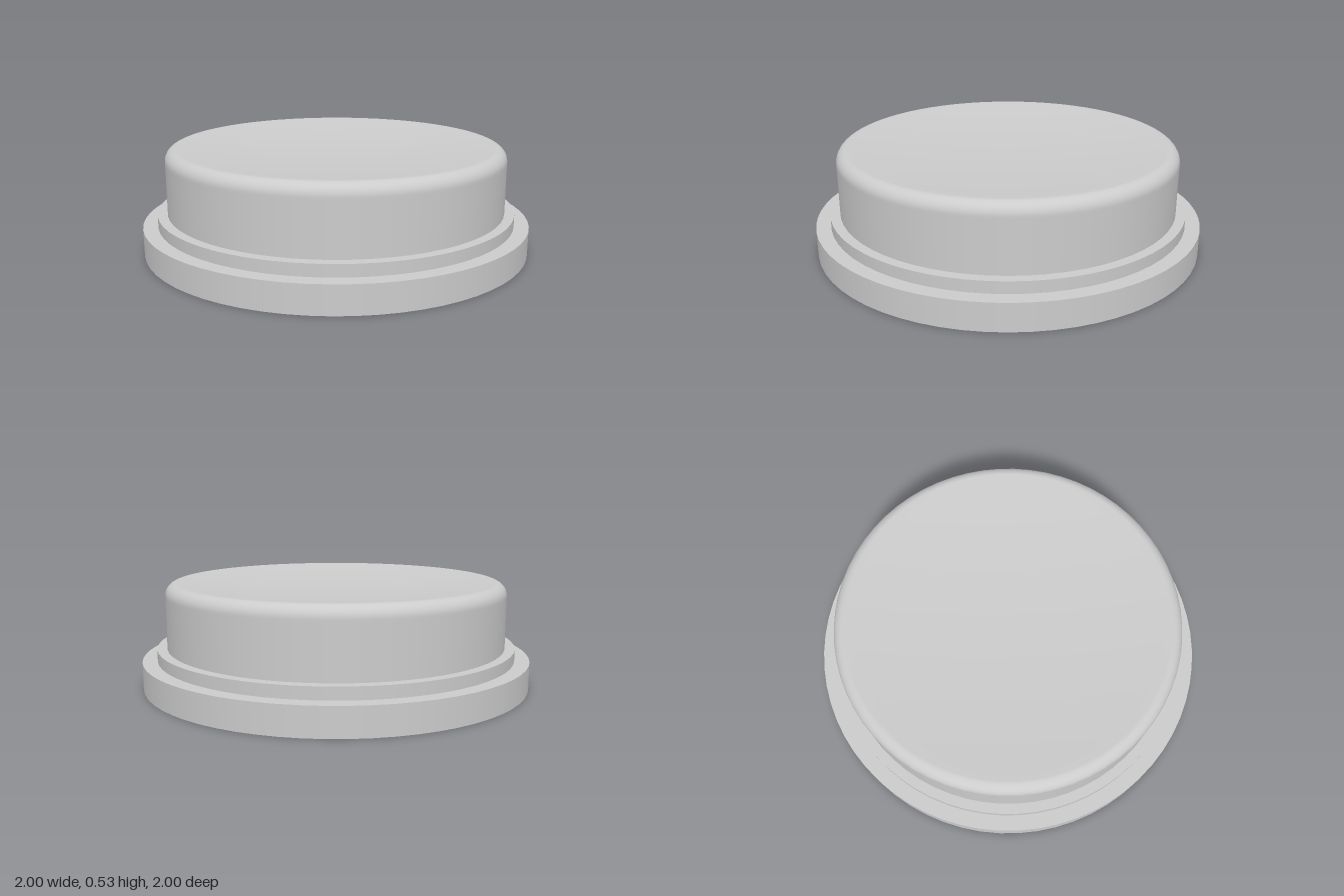
import * as THREE from 'three';

const SEGMENTS = 64;
const material = new THREE.MeshStandardMaterial({ color: 0xcccccc });

function addPart(group, name, geometry, y = 0) {
  const mesh = new THREE.Mesh(geometry, material);
  mesh.name = name;
  mesh.position.y = y;
  group.add(mesh);
}

// Side wall, rounded rim and shallow dished top, from the bottom to the centre
function buttonProfile(radius, bottom, top, fillet, dishDepth) {
  const points = [new THREE.Vector2(radius, bottom), new THREE.Vector2(radius, top - fillet - 0.01)];
  const rim = radius - fillet;
  for (let i = 0; i <= 10; i++) {
    const a = (i / 10) * Math.PI / 2;
    points.push(new THREE.Vector2(rim + fillet * Math.cos(a), top - fillet + fillet * Math.sin(a)));
  }
  for (let i = 1; i <= 16; i++) {
    const t = 1 - i / 16;
    points.push(new THREE.Vector2(rim * t, top - dishDepth * (1 - t * t)));
  }
  return points;
}

export function createModel() {
  const group = new THREE.Group();
  group.name = 'pushButton';

  // Wide flange and the narrower collar standing on it
  addPart(group, 'baseFlange', new THREE.CylinderGeometry(1, 1, 0.14, SEGMENTS), 0.07);
  addPart(group, 'collar', new THREE.CylinderGeometry(0.925, 0.925, 0.06, SEGMENTS), 0.17);

  // Button cap with a finger dish
  addPart(group, 'buttonCap', new THREE.LatheGeometry(buttonProfile(0.875, 0.2, 0.53, 0.06, 0.04), SEGMENTS));

  return group;
}
